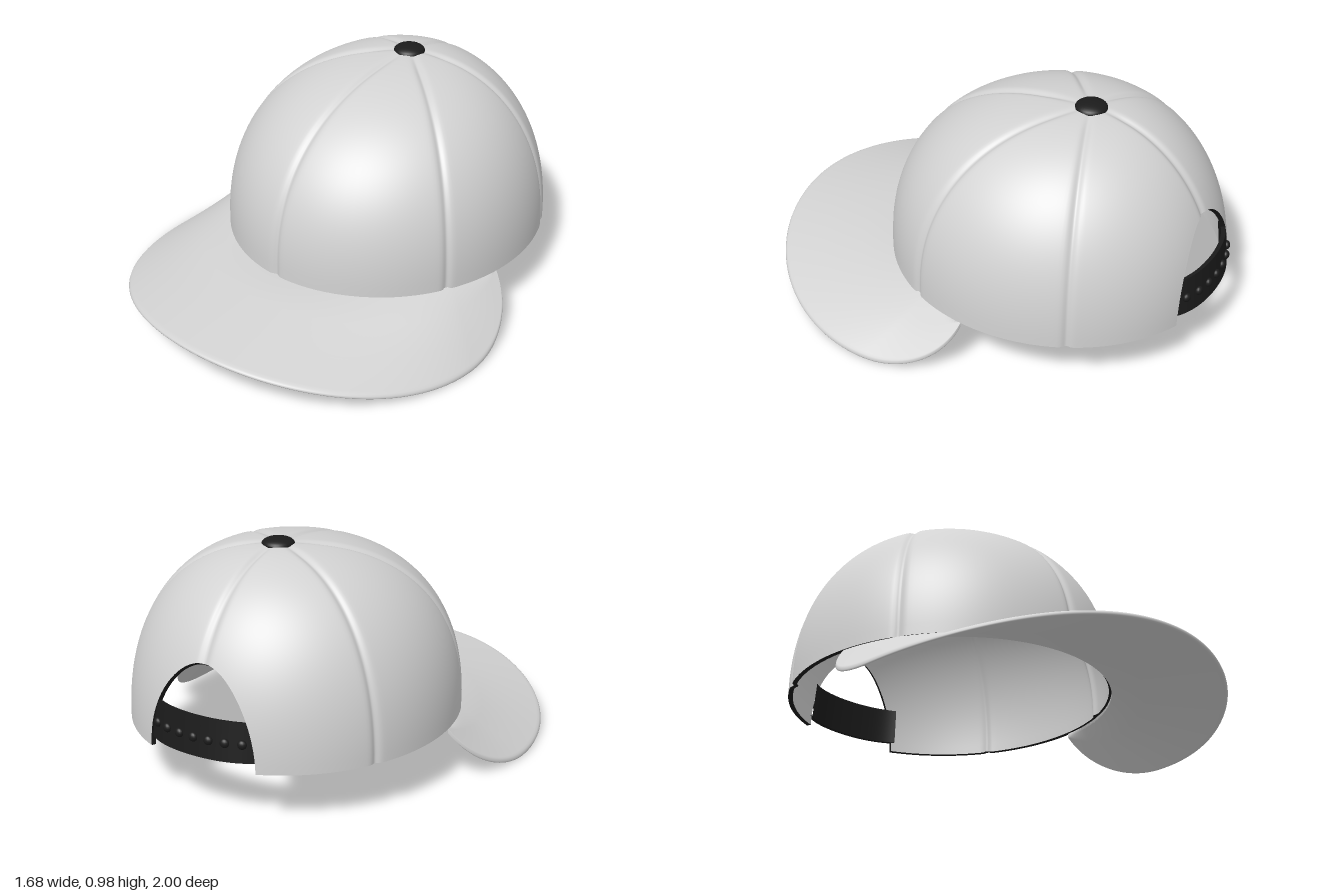
import * as THREE from 'three';
import { mergeVertices, toCreasedNormals } from 'three/addons/utils/BufferGeometryUtils.js';

const BASE = 0.228, HEIGHT = 0.735, APEX_Z = -0.39;   // crown rim, height, top button position
const RX = 0.675, RZ = 0.725, CZ = -0.255;            // oval of the crown rim
const ARCH = 0.43, ARCH_H = 0.39;                     // rear opening: half angle and height
const SEAMS = [0, 0.908, 1.928, Math.PI];             // panel seams, angle from the front
const CORE = new THREE.Vector3(0, BASE, -0.3);

// Smooth surface from a rule point(i, j)
function grid(nu, nv, point) {
  const pos = [], idx = [];
  for (let i = 0; i <= nu; i++) for (let j = 0; j <= nv; j++) pos.push(...point(i, j).toArray());
  for (let i = 0; i < nu; i++) for (let j = 0; j < nv; j++) {
    const a = i * (nv + 1) + j, b = a + nv + 1;
    idx.push(a, b, b + 1, a, b + 1, a + 1);
  }
  let g = new THREE.BufferGeometry();
  g.setAttribute('position', new THREE.Float32BufferAttribute(pos, 3));
  g.setIndex(idx);
  g = mergeVertices(g, 1e-5);
  g.computeVertexNormals();
  return g;
}

// Distance from the apex to the rim oval along an angle
function rimRadius(th) {
  const s = Math.sin(th) / RX, c = Math.cos(th) / RZ, k = (APEX_Z - CZ) / RZ;
  const A = s * s + c * c, B = c * k, C = k * k - 1;
  return (-B + Math.sqrt(B * B - A * C)) / A;
}
const power = (th) => 2.27 + 0.12 * Math.cos(th);

// Point on the crown: angle, rise 0..pi/2, inward offset
function crownPoint(th, phi, inset, seams = true) {
  const e = 2 / power(th), R = rimRadius(th);
  const r = Math.max(0, Math.cos(phi)) ** e, t = Math.sin(phi) ** e;
  const p = new THREE.Vector3(Math.sin(th) * R * r, BASE + HEIGHT * t, APEX_Z + Math.cos(th) * R * r);
  if (seams) {
    const d = Math.min(...SEAMS.map((s) => Math.abs(Math.abs(th) - s))) * R * r;
    inset += 0.011 * Math.exp(-((d / 0.016) ** 2)) * Math.min(1, r * 4);
  }
  return p.addScaledVector(CORE.clone().sub(p).normalize(), inset);
}
const riseAt = (th, y) => Math.asin(((y - BASE) / HEIGHT) ** (power(th) / 2));

// Lower end of the crown, raised over the rear arch
function lowerRise(th) {
  const d = (Math.PI - Math.abs(th)) / ARCH;
  return d >= 1 ? 0 : riseAt(th, BASE + ARCH_H * Math.sqrt(1 - d * d));
}

// Crown columns, packed closer beside seams and the arch
function crownAngles() {
  const half = [0], stops = [...SEAMS.slice(0, 3), Math.PI - ARCH];
  for (let k = 0; k < 3; k++) for (let i = 1; i <= 28; i++) {
    const s = i / 28, w = s - 0.85 * Math.sin(2 * Math.PI * s) / (2 * Math.PI);
    half.push(stops[k] + (stops[k + 1] - stops[k]) * w);
  }
  for (let i = 1; i <= 40; i++) half.push(Math.PI - ARCH * Math.cos(i / 40 * Math.PI / 2));
  return [...half.slice(1).reverse().map((a) => -a), ...half];
}

// Brim: section swept between the crown rim and the outer edge
function brimGeometry() {
  const section = [[0, 0], [0.3, 0], [0.65, 0], [0.95, 0], [0.98, 0], [0.994, -0.004], [1, -0.01],
    [0.994, -0.016], [0.98, -0.02], [0.95, -0.02], [0.65, -0.02], [0.3, -0.02], [0, -0.02], [0, 0]];
  const n = 160;
  return grid(n, section.length - 1, (i, j) => {
    const u = i / n, side = u <= 0.5 ? 1 : -1, h = 2 * Math.min(u, 1 - u);
    let x, y, z, al;
    if (h < 0.25) {                                   // rounded rear corner
      const b = (h / 0.25 - 1) * 1.43;
      x = 0.64 + 0.2 * Math.cos(b); z = 0.2 + 0.375 * Math.sin(b);
      y = 0.02 + (0.84 - x) * 1.2; al = 0.117 + h / 0.25 * 0.333;
    } else {                                          // front sweep
      const f = (h - 0.25) / 0.75, a = f * Math.PI / 2;
      x = 0.84 * Math.cos(a); z = 0.2 + 0.8 * Math.sin(a);
      y = 0.165 - 0.145 * (x / 0.84) ** 2; al = 0.45 + f * (Math.PI / 2 - 0.45);
    }
    const inner = new THREE.Vector3(side * RX * 0.987 * Math.cos(al), BASE + 0.004, CZ + RZ * 0.987 * Math.sin(al));
    const p = inner.lerp(new THREE.Vector3(side * x, y, z), section[j][0]);
    p.y += section[j][1];
    return p;
  });
}

// Rear strap following the crown curve
function strapOffset(d) { return -0.01 + 0.022 * (d / 0.45) ** 4; }
function strapGeometry() {
  const section = [[0.27, 0], [0.43, 0], [0.43, 0.02], [0.27, 0.02], [0.27, 0]];
  const n = 32;
  const g = grid(n, 4, (i, j) => {
    const d = -0.45 + 0.9 * i / n, th = Math.PI + d, [y, depth] = section[j];
    return crownPoint(th, riseAt(th, y), strapOffset(d) + depth, false);
  });
  return toCreasedNormals(g, 0.7);
}

export function createModel() {
  const fabric = new THREE.MeshStandardMaterial({ color: 0xd2d2d2 });
  fabric.name = 'light grey fabric';
  const black = new THREE.MeshStandardMaterial({ color: 0x1b1b1b });
  black.name = 'black trim';
  const cap = new THREE.Group();
  cap.name = 'cap';
  const add = (name, geometry, material, parent = cap) => {
    const m = new THREE.Mesh(geometry, material);
    m.name = name;
    parent.add(m);
    return m;
  };

  // Crown shells and the dark edge joining them
  const angles = crownAngles(), n = angles.length - 1, rows = 40;
  const rise = (th, j) => {
    const lo = lowerRise(th);
    return lo + (Math.PI / 2 - lo) * j / rows;
  };
  add('crown', grid(n, rows, (i, j) => crownPoint(angles[i], rise(angles[i], j), 0)), fabric);
  add('crownLining', grid(n, rows, (i, j) => crownPoint(angles[n - i], rise(angles[n - i], j), 0.02)), fabric);
  add('crownEdge', grid(n, 1, (i, j) => crownPoint(angles[i], lowerRise(angles[i]), j ? 0 : 0.02)), black);

  add('brim', brimGeometry(), fabric);

  // Top button
  const button = add('topButton', new THREE.SphereGeometry(0.067, 32, 16), black);
  button.scale.y = 0.4;
  button.position.set(0, BASE + HEIGHT - 0.005, APEX_Z);

  // Strap with a row of snaps
  add('rearStrap', strapGeometry(), black);
  const snaps = new THREE.Group();
  snaps.name = 'strapSnaps';
  cap.add(snaps);
  const snap = new THREE.SphereGeometry(0.019, 14, 10);
  for (let k = -3; k <= 3; k++) {
    const d = k * 0.115, th = Math.PI + d;
    const m = add('snap', snap, black, snaps);
    m.position.copy(crownPoint(th, riseAt(th, 0.345), strapOffset(d), false));
    m.rotation.y = th;
    m.scale.z = 0.75;
  }
  return cap;
}
